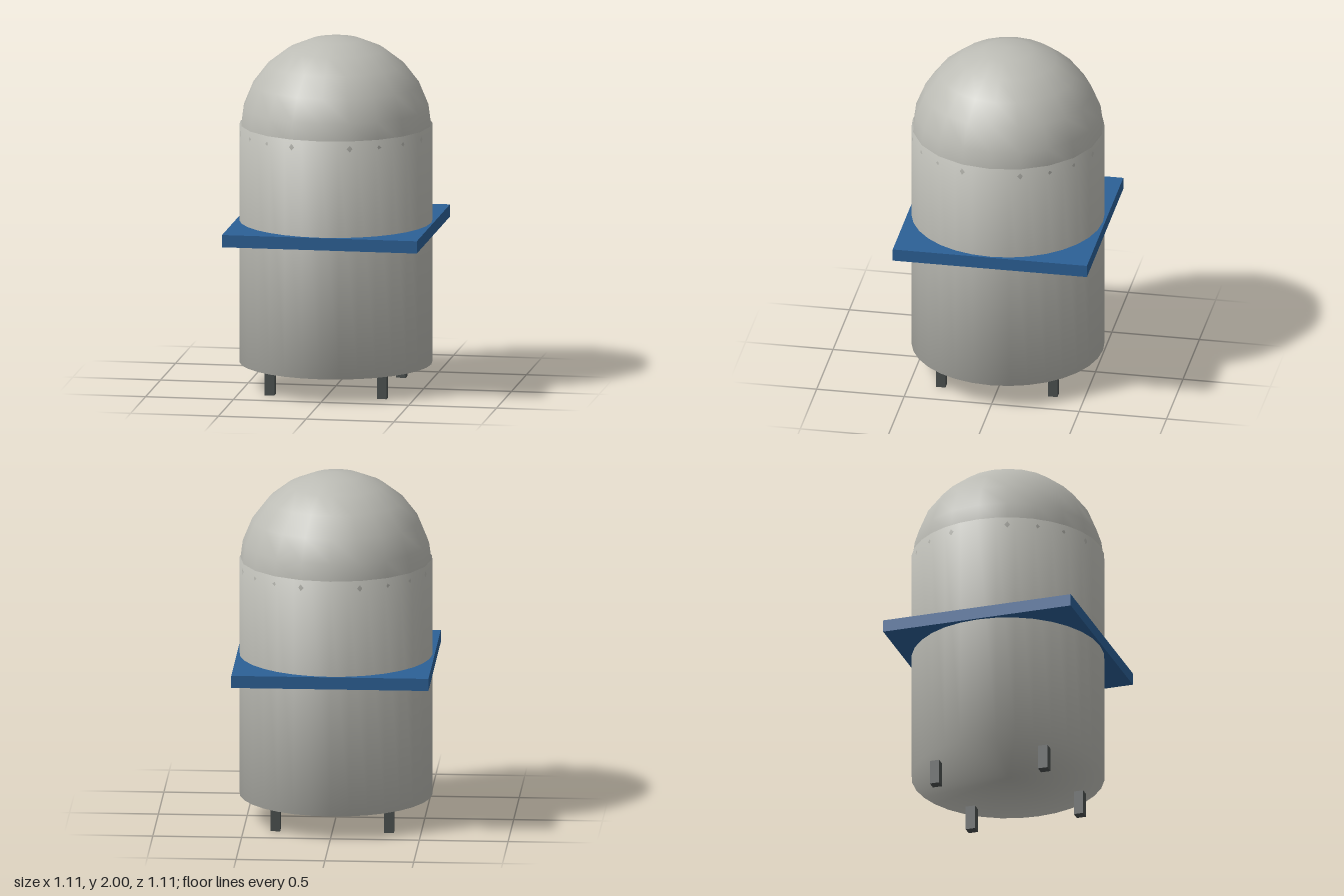
import * as THREE from 'three';

export function createModel() {
  const model = new THREE.Group();
  model.name = 'domedTank';

  const material = (name, color) => {
    const m = new THREE.MeshStandardMaterial({ color });
    m.name = name;
    return m;
  };
  const grey = material('light grey', 0xbcbcb5);
  const blue = material('blue', 0x2c6096);
  const dark = material('dark grey', 0x4c5150);

  const add = (name, geometry, mat, x, y, z) => {
    const mesh = new THREE.Mesh(geometry, mat);
    mesh.name = name;
    mesh.position.set(x, y, z);
    model.add(mesh);
  };

  const radius = 0.543;
  const bottom = 0.14;
  const top = 1.5;

  // closed drum, with normals softened over both rims
  const profile = [[0, bottom], [radius, bottom], [radius, top], [0, top]]
    .map(([x, y]) => new THREE.Vector2(x, y));
  add('drum', new THREE.LatheGeometry(profile, 32), grey, 0, 0, 0);

  // ball whose upper half forms the dome; its equator just breaks the drum's facets
  add('dome', new THREE.SphereGeometry(radius, 20, 12), grey, 0, 2 - radius, 0);

  // square platform around the middle
  add('platform', new THREE.BoxGeometry(1.11, 0.07, 1.11), blue, 0, 0.915, 0);

  // four short square legs
  const legGeometry = new THREE.BoxGeometry(0.055, bottom, 0.055);
  for (const x of [-0.32, 0.32]) {
    for (const z of [-0.32, 0.32]) {
      add(`${z > 0 ? 'front' : 'back'}${x > 0 ? 'Left' : 'Right'}Leg`, legGeometry, dark, x, bottom / 2, z);
    }
  }

  return model;
}
